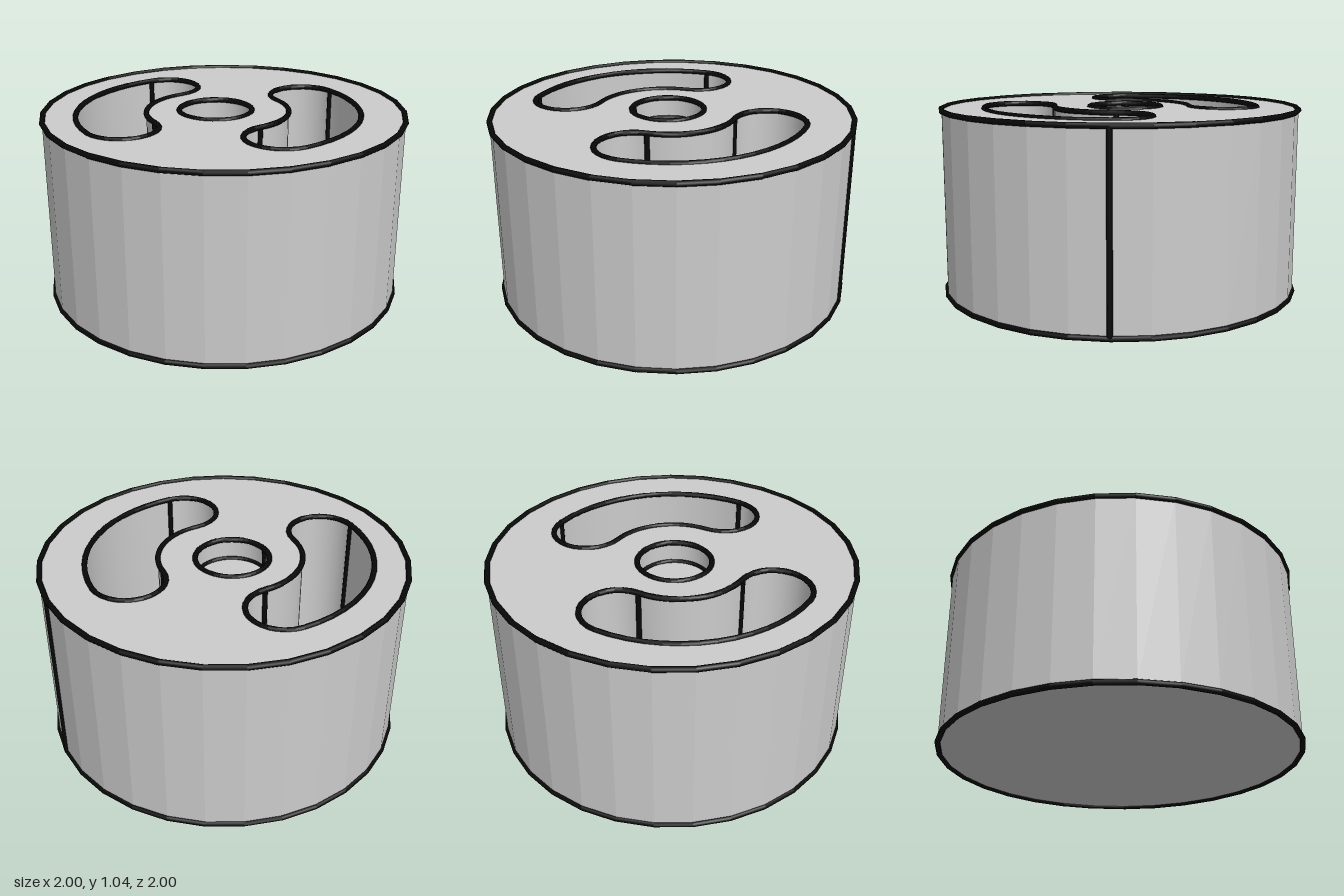
import * as THREE from 'three';
import { mergeGeometries } from 'three/addons/utils/BufferGeometryUtils.js';

const BOTTOM = 0.02, TOP = 1.03, LINE = 0.015;
const grey = new THREE.MeshStandardMaterial({ color: 0xcccccc });
const greyFlat = new THREE.MeshStandardMaterial({ color: 0xcccccc, flatShading: true });
const black = new THREE.MeshStandardMaterial({ color: 0x080808 });

// Plan points are (x, -z), running counter-clockwise seen from above
function arc(cx, cy, r, a0, a1, n) {
  return Array.from({ length: n }, (_, i) => {
    const a = a0 + ((a1 - a0) * i) / n;
    return new THREE.Vector2(cx + r * Math.cos(a), cy + r * Math.sin(a));
  });
}

// Quarter-ring slot with round ends; corners fall on every 14th point
function slot(cx, cy, r, half, a0) {
  const a1 = a0 + Math.PI / 2, n = 14;
  const cap = (a) => [cx + r * Math.cos(a), cy + r * Math.sin(a)];
  return [
    ...arc(cx, cy, r + half, a0, a1, n),
    ...arc(...cap(a1), half, a1, a1 + Math.PI, n),
    ...arc(cx, cy, r - half, a1, a0, n),
    ...arc(...cap(a0), half, a0 + Math.PI, a0 + 2 * Math.PI, n),
  ];
}

// Vertical wall along a closed outline
function wall(points, y0, y1, inward) {
  const pos = [], index = [], n = points.length;
  points.forEach((p, i) => {
    pos.push(p.x, y0, -p.y, p.x, y1, -p.y);
    const a = 2 * i, b = 2 * ((i + 1) % n);
    if (inward) index.push(a, b + 1, b, a, a + 1, b + 1);
    else index.push(a, b, b + 1, a, b + 1, a + 1);
  });
  const g = new THREE.BufferGeometry();
  g.setAttribute('position', new THREE.Float32BufferAttribute(pos, 3));
  g.setIndex(index);
  g.computeVertexNormals();
  return g;
}

// Horizontal face, optionally pierced
function face(points, y, holes = []) {
  const shape = new THREE.Shape(points);
  shape.holes = holes.map((h) => new THREE.Path(h));
  return new THREE.ShapeGeometry(shape).rotateX(-Math.PI / 2).translate(0, y, 0);
}

// Thin round bar between two points
function bar(a, b) {
  const d = b.clone().sub(a);
  const g = new THREE.CylinderGeometry(LINE, LINE, d.length() + LINE * 0.3, 8);
  g.applyQuaternion(new THREE.Quaternion().setFromUnitVectors(new THREE.Vector3(0, 1, 0), d.normalize()));
  return g.translate((a.x + b.x) / 2, (a.y + b.y) / 2, (a.z + b.z) / 2);
}

// Bars along an outline at both levels, plus upright bars at chosen points
function edges(points, y0, y1, uprights) {
  const at = (p, y) => new THREE.Vector3(p.x, y, -p.y);
  const parts = [];
  points.forEach((p, i) => {
    const q = points[(i + 1) % points.length];
    for (const y of [y0, y1]) parts.push(bar(at(p, y), at(q, y)));
  });
  for (const i of uprights) parts.push(bar(at(points[i], y0), at(points[i], y1)));
  return mergeGeometries(parts);
}

export function createModel() {
  const model = new THREE.Group();
  const add = (name, geometry, material) => {
    const mesh = new THREE.Mesh(geometry, material);
    mesh.name = name;
    model.add(mesh);
  };

  const rim = arc(0, 0, 0.985, 0, 2 * Math.PI, 31);
  const pockets = [
    { name: 'backSlot', points: slot(-0.04, 0, 0.58, 0.19, Math.PI / 2), floor: 0.25, uprights: [0, 14, 28, 42] },
    { name: 'frontSlot', points: slot(-0.01, 0, 0.56, 0.195, 1.5 * Math.PI), floor: 0.25, uprights: [0, 14, 28, 42] },
    { name: 'centreHole', points: arc(-0.035, 0.03, 0.2, 0, 2 * Math.PI, 40), floor: 0.91, uprights: [20] },
  ];

  // Drum body
  add('drumWall', wall(rim, BOTTOM, TOP, false), greyFlat);
  add('topFace', face(rim, TOP, pockets.map((p) => p.points)), grey);
  add('bottomFace', face(rim, 0).rotateX(Math.PI).translate(0, BOTTOM, 0), grey);
  add('drumEdges', edges(rim, BOTTOM, TOP, [0]), black);

  // Recesses sunk into the top
  for (const p of pockets) {
    add(p.name + 'Wall', wall(p.points, p.floor, TOP, true), grey);
    add(p.name + 'Floor', face(p.points, p.floor), grey);
    add(p.name + 'Edges', edges(p.points, p.floor, TOP, p.uprights), black);
  }
  return model;
}
